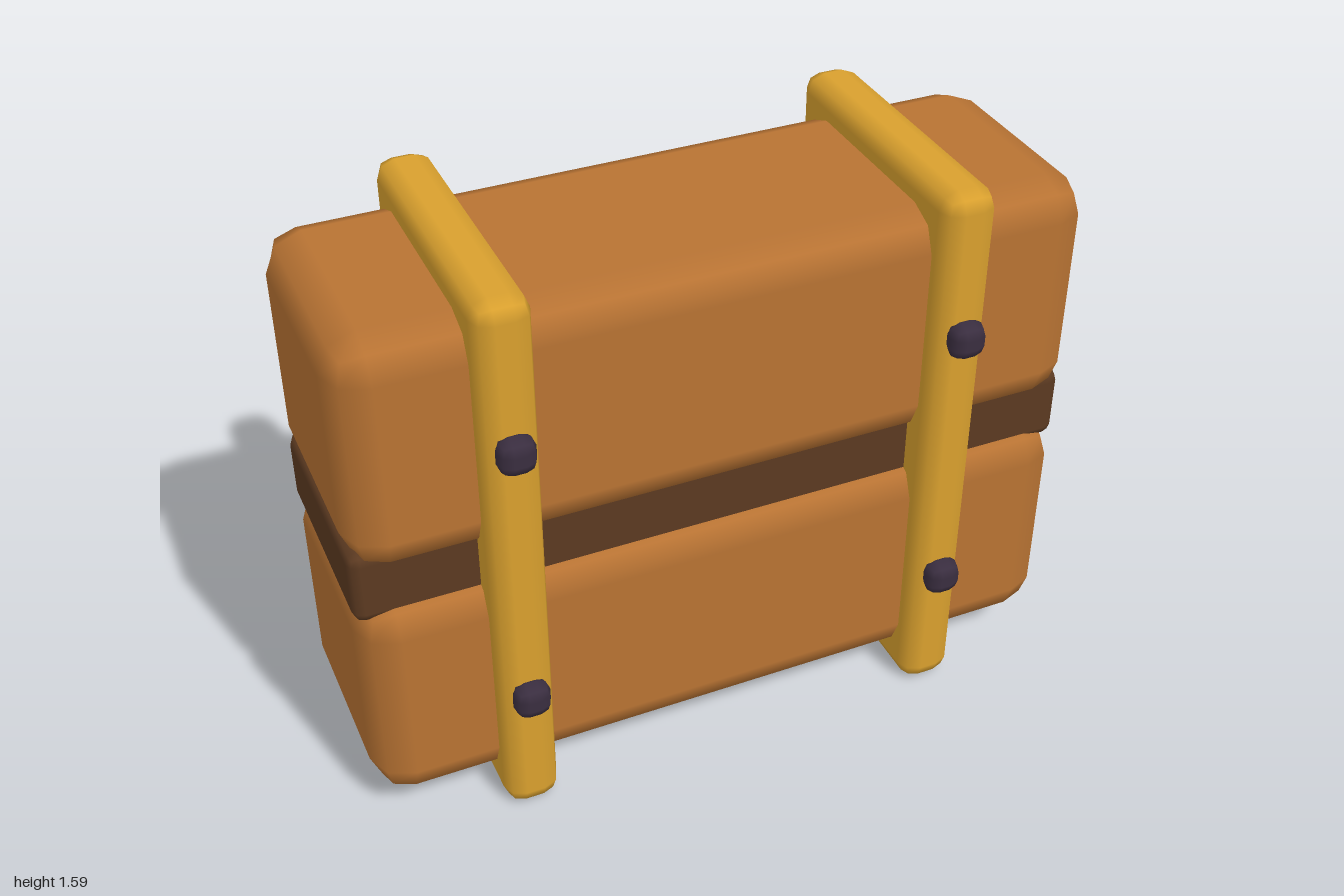
import * as THREE from 'three';
import { RoundedBoxGeometry } from 'three/addons/geometries/RoundedBoxGeometry.js';

function material(name, color) {
  const m = new THREE.MeshStandardMaterial({ color });
  m.name = name;
  return m;
}

export function createModel() {
  const model = new THREE.Group();
  model.name = 'strappedBeams';

  const wood = material('wood', 0xb87333);
  const darkWood = material('dark wood', 0x5c3a21);
  const brass = material('brass', 0xd9a02e);
  const iron = material('dark iron', 0x3a2e40);

  // Block with a two-step rounded bevel on every edge
  function block(name, mat, [w, h, d], bevel, [x, y, z]) {
    const mesh = new THREE.Mesh(new RoundedBoxGeometry(w, h, d, 1, bevel), mat);
    mesh.name = name;
    mesh.position.set(x, y, z);
    model.add(mesh);
  }

  // Two stacked beams with a dark spacer between them
  block('lowerBeam', wood, [2, 0.655, 0.675], 0.1, [0, 0.412, 0]);
  block('upperBeam', wood, [2, 0.655, 0.675], 0.1, [0, 1.178, 0]);
  block('spacer', darkWood, [2, 0.21, 0.585], 0.03, [0, 0.795, 0]);

  // Straps around the beams, each with four studs
  for (const x of [-0.6, 0.6]) {
    block('strap', brass, [0.15, 1.585, 0.8], 0.05, [x, 0.7925, 0]);
    for (const y of [0.405, 1.185]) {
      for (const side of [-1, 1]) {
        block('stud', iron, [0.1, 0.1, 0.075], 0.035, [x, y, side * 0.4125]);
      }
    }
  }
  return model;
}
